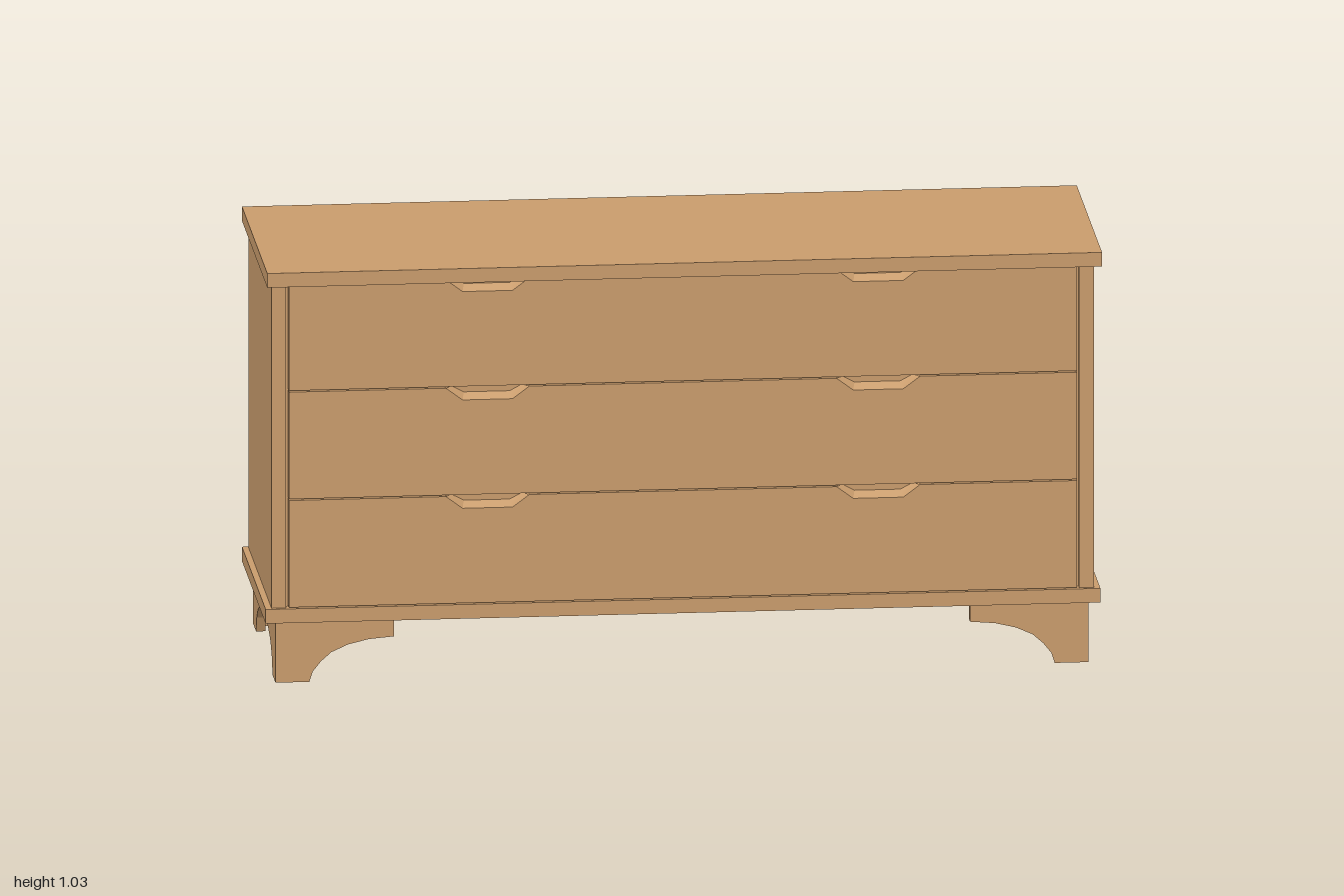
import * as THREE from 'three';

const wood = new THREE.MeshStandardMaterial({ color: 0xc99c6c, side: THREE.DoubleSide });

function add(parent, name, geometry) {
  const mesh = new THREE.Mesh(geometry, wood);
  mesh.name = name;
  parent.add(mesh);
  return mesh;
}

// Box given by its lower and upper corners
function box(parent, name, [x0, y0, z0], [x1, y1, z1]) {
  const mesh = add(parent, name, new THREE.BoxGeometry(x1 - x0, y1 - y0, z1 - z0));
  mesh.position.set((x0 + x1) / 2, (y0 + y1) / 2, (z0 + z1) / 2);
  return mesh;
}

function extrude(points, depth) {
  const shape = new THREE.Shape(points.map(([x, y]) => new THREE.Vector2(x, y)));
  return new THREE.ExtrudeGeometry(shape, { depth, bevelEnabled: false });
}

// Bevelled scoop that lines a finger notch: wide in front, narrower behind
function scoopGeometry(depth) {
  const front = [[-0.1, 0], [-0.06, -0.03], [0.06, -0.03], [0.1, 0]];
  const back = [[-0.085, 0], [-0.055, -0.016], [0.055, -0.016], [0.085, 0]];
  const position = [], index = [];
  const quad = (...corners) => {
    const n = position.length / 3;
    corners.forEach((c) => position.push(...c));
    index.push(n, n + 1, n + 2, n, n + 2, n + 3);
  };
  for (let i = 0; i < 3; i++) {
    quad([...front[i], depth], [...front[i + 1], depth], [...back[i + 1], 0], [...back[i], 0]);
  }
  const g = new THREE.BufferGeometry();
  g.setAttribute('position', new THREE.Float32BufferAttribute(position, 3));
  g.setIndex(index);
  g.computeVertexNormals();
  return g;
}

export function createModel() {
  const group = new THREE.Group();
  group.name = 'chestOfDrawers';

  // Slabs and carcass
  box(group, 'topSlab', [-1, 0.993, -0.31], [1, 1.028, 0.31]);
  box(group, 'baseSlab', [-1, 0.153, -0.31], [1, 0.188, 0.27]);
  box(group, 'carcass', [-0.95, 0.188, -0.3], [0.95, 0.993, 0.245]);
  for (const s of [-1, 1]) {
    const [a, b] = [0.95 * s, 0.985 * s].sort((p, q) => p - q);
    box(group, s > 0 ? 'leftSidePanel' : 'rightSidePanel', [a, 0.188, -0.3], [b, 0.993, 0.26]);
  }

  // Drawer fronts with two finger notches in the top edge
  const w = 0.944, h = 0.264, depth = 0.022;
  const outline = [[-w, 0], [w, 0], [w, h]];
  for (const c of [0.468, -0.468]) {
    outline.push([c + 0.1, h], [c + 0.06, h - 0.03], [c - 0.06, h - 0.03], [c - 0.1, h]);
  }
  outline.push([-w, h]);
  const drawerGeometry = extrude(outline, depth);
  const scoop = scoopGeometry(depth);
  for (let i = 0; i < 3; i++) {
    const drawer = new THREE.Group();
    drawer.name = 'drawer' + (i + 1);
    drawer.position.set(0, 0.191 + i * 0.2675, 0.246);
    add(drawer, 'drawerFront', drawerGeometry);
    for (const c of [-0.468, 0.468]) {
      add(drawer, 'fingerPull', scoop).position.set(c, h, 0);
    }
    group.add(drawer);
  }

  // Bracket feet on the front and back, cut with a quarter arch
  const t = 0.022, top = 0.153;
  const bracket = [[0.69, top], [0.69, 0.107], [0.75, 0.102], [0.8, 0.09], [0.84, 0.072],
    [0.865, 0.05], [0.885, 0.025], [0.893, 0], [0.973, 0], [0.973, top]];
  for (const s of [-1, 1]) {
    const geometry = extrude(bracket.map(([x, y]) => [x * s, y]), t);
    add(group, 'frontFoot', geometry).position.z = 0.245 - t;
    add(group, 'backFoot', geometry).position.z = -0.3;
  }

  // Side plinths with a full arch between the feet
  const mid = -0.028, half = 0.2725;
  const arch = [[0.201, 0], [0.185, 0.038], [0.163, 0.06], [0.138, 0.075], [0.09, 0.09], [0, 0.102]];
  const right = arch.map(([z, y]) => [-z, y]);
  const side = [[-half, top], [-half, 0], ...right, ...arch.slice(0, -1).reverse(),
    [half, 0], [half, top]];
  for (const s of [-1, 1]) {
    const plinth = add(group, s > 0 ? 'leftPlinth' : 'rightPlinth', extrude(side, t));
    plinth.rotation.y = -Math.PI / 2;
    plinth.position.set(s > 0 ? 0.974 : -0.974 + t, 0, mid);
  }

  return group;
}
